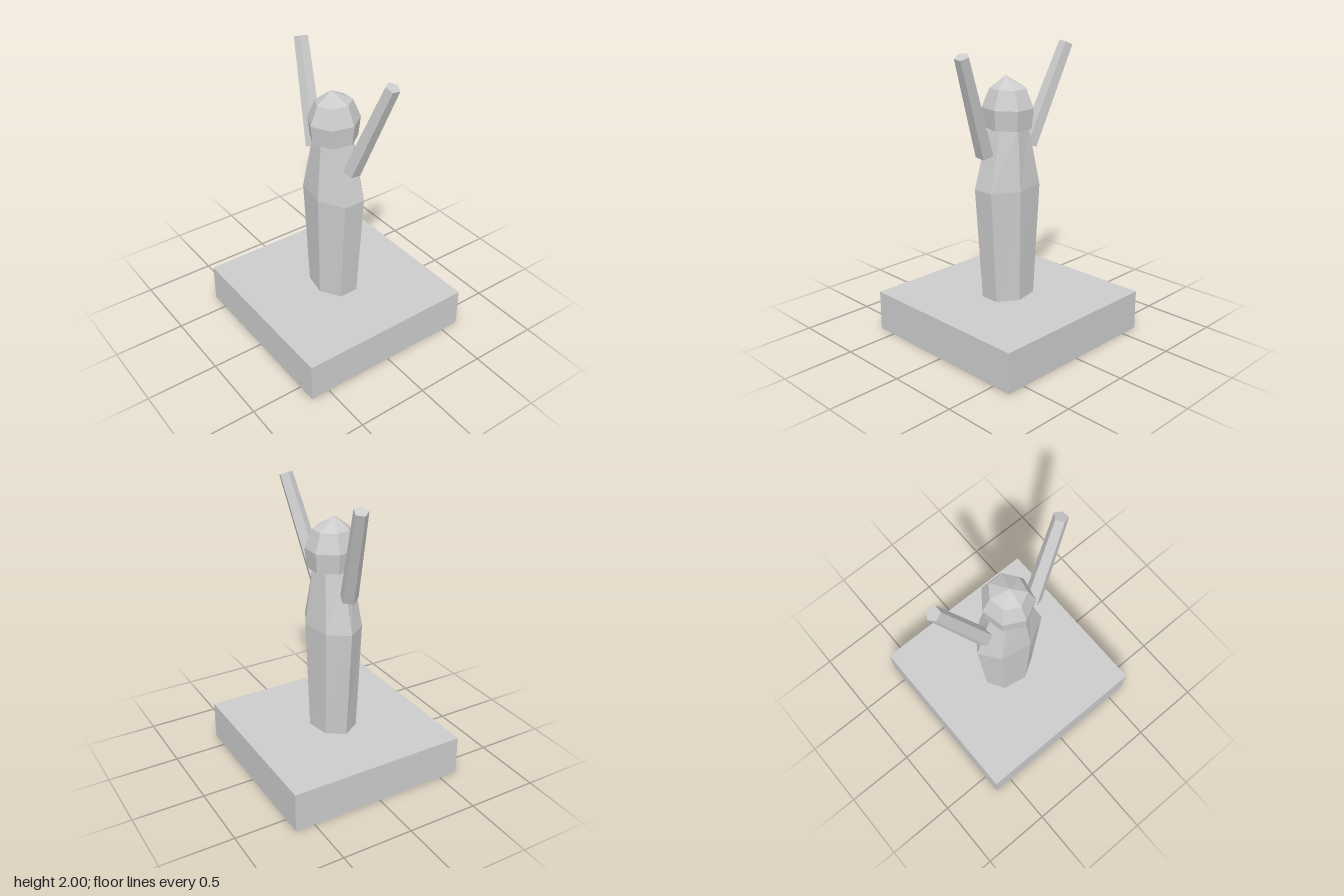
import * as THREE from 'three';

const grey = new THREE.MeshStandardMaterial({ color: 0xcccccc, flatShading: true });
const greyDouble = new THREE.MeshStandardMaterial({ color: 0xcccccc, flatShading: true, side: THREE.DoubleSide });

// Faceted column from elliptical rings [y, radiusX, radiusZ, offsetZ], bottom to top.
function ringColumn(name, sides, startAngle, rings) {
  const steps = rings.length - 1;
  const geo = new THREE.CylinderGeometry(1, 1, 1, sides, steps, false, startAngle);
  const pos = geo.attributes.position;
  for (let i = 0; i < pos.count; i++) {
    const [y, rx, rz, dz = 0] = rings[Math.round((pos.getY(i) + 0.5) * steps)];
    pos.setXYZ(i, pos.getX(i) * rx, y, pos.getZ(i) * rz + dz);
  }
  geo.computeVertexNormals();
  const mesh = new THREE.Mesh(geo, grey);
  mesh.name = name;
  return mesh;
}

// Five-sided tapered arm between two points.
function arm(name, from, to) {
  const axis = to.clone().sub(from);
  const geo = new THREE.CylinderGeometry(0.049, 0.062, axis.length(), 5, 1, false, -Math.PI / 2);
  const mesh = new THREE.Mesh(geo, grey);
  mesh.name = name;
  mesh.position.copy(from).add(to).multiplyScalar(0.5);
  mesh.quaternion.setFromUnitVectors(new THREE.Vector3(0, 1, 0), axis.normalize());
  return mesh;
}

export function createModel() {
  const model = new THREE.Group();
  model.name = 'figureOnPlinth';

  // Hollow plinth, open underneath: drop the box's bottom face
  const box = new THREE.BoxGeometry(1.27, 0.28, 1.27);
  const index = Array.from(box.index.array);
  index.splice(18, 6);
  box.setIndex(index);
  box.clearGroups();
  const plinth = new THREE.Mesh(box, greyDouble);
  plinth.name = 'plinth';
  plinth.position.y = 0.14;
  model.add(plinth);

  // Seven-sided body, widest at the waist
  model.add(ringColumn('body', 7, -Math.PI / 2, [
    [0.28, 0.2, 0.157],
    [1.065, 0.26, 0.176],
    [1.475, 0.145, 0.128],
  ]));

  // Domed head with one edge facing forward
  model.add(ringColumn('head', 7, 0, [
    [1.465, 0.157, 0.165],
    [1.6, 0.17, 0.18],
    [1.725, 0.118, 0.128],
    [1.805, 0.001, 0.001, 0.02],
  ]));

  // Raised arms, leaning slightly back
  for (const [name, s] of [['leftArm', 1], ['rightArm', -1]]) {
    model.add(arm(name,
      new THREE.Vector3(s * 0.205, 1.31, 0.008),
      new THREE.Vector3(s * 0.473, 1.982, -0.08)));
  }
  return model;
}
